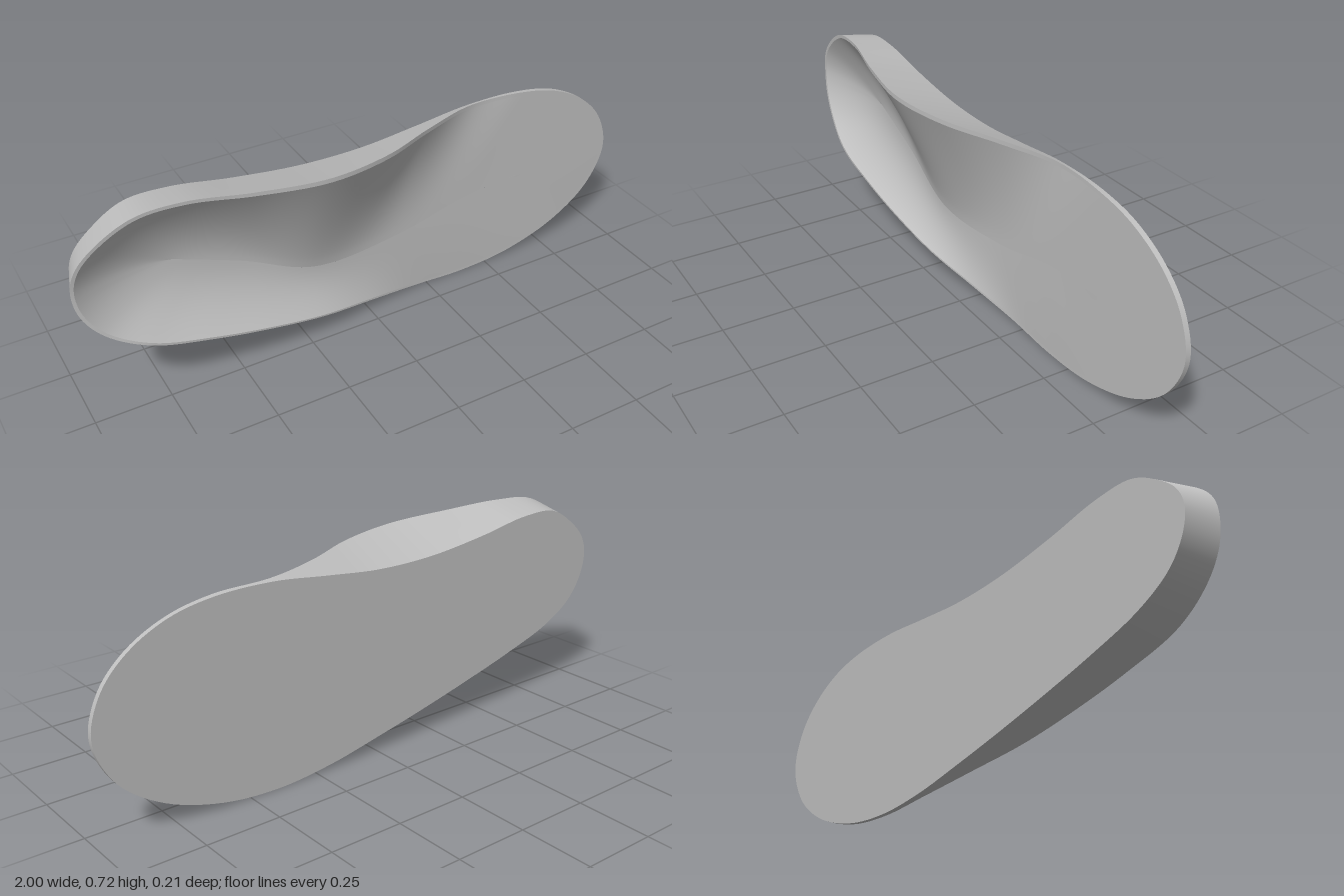
import * as THREE from 'three';

const BACK = -0.105;
const AROUND = 192;

// Rim stations, counter-clockwise from the heel tip: x, y, rim height z, base offset x, base offset y
const STATIONS = [
  [-1, 0.5, 0, 0.03, 0], [-0.985, 0.41, 0.005, 0.03, 0.01], [-0.925, 0.325, 0.015, 0.025, 0.012],
  [-0.8, 0.25, 0.033, 0.015, 0.015], [-0.6, 0.188, 0.03, 0, 0.015], [-0.4, 0.137, 0.018, 0, 0.012],
  [-0.2, 0.09, -0.005, 0, 0.01], [0, 0.05, -0.045, 0, 0.006], [0.2, 0.015, -0.08, 0, 0.002],
  [0.4, 0, -0.088, 0, 0], [0.6, 0.02, -0.088, 0, 0], [0.8, 0.09, -0.088, 0, 0],
  [0.94, 0.2, -0.088, 0, 0], [1, 0.34, -0.088, 0, 0], [0.965, 0.47, -0.088, 0, 0],
  [0.88, 0.565, -0.088, 0, 0], [0.75, 0.635, -0.088, 0, 0], [0.6, 0.668, -0.088, 0, -0.002],
  [0.4, 0.675, -0.088, 0, -0.006], [0.2, 0.677, -0.025, 0, -0.03], [0, 0.685, 0.06, 0, -0.058],
  [-0.22, 0.694, 0.102, 0, -0.065], [-0.45, 0.706, 0.077, 0, -0.05], [-0.65, 0.718, 0.037, 0.005, -0.03],
  [-0.8, 0.704, 0.022, 0.012, -0.02], [-0.92, 0.635, 0.01, 0.025, -0.015], [-0.98, 0.57, 0.004, 0.03, -0.008],
];

// Lowest line of the footbed from heel to toe
const SPINE = new THREE.CatmullRomCurve3([
  [-0.68, 0.46, -0.072], [-0.45, 0.37, -0.068], [-0.2, 0.26, -0.06],
  [0.12, 0.26, -0.08], [0.4, 0.32, -0.087], [0.65, 0.34, -0.087],
].map((p) => new THREE.Vector3(...p)));

const loop = (points) => {
  const curve = new THREE.CatmullRomCurve3(points, true);
  return Array.from({ length: AROUND }, (_, i) => curve.getPoint(i / AROUND));
};

// Smooth skin through closed rings of equal length
function skin(rings) {
  const positions = rings.flat().flatMap((p) => [p.x, p.y, p.z]);
  const index = [];
  for (let j = 0; j < rings.length - 1; j++) {
    for (let i = 0; i < AROUND; i++) {
      const k = (i + 1) % AROUND;
      const a = j * AROUND + i, b = j * AROUND + k;
      index.push(a, b, b + AROUND, a, b + AROUND, a + AROUND);
    }
  }
  const geometry = new THREE.BufferGeometry();
  geometry.setAttribute('position', new THREE.Float32BufferAttribute(positions, 3));
  geometry.setIndex(index);
  geometry.computeVertexNormals();
  return geometry;
}

// Ring of the footbed: u = 0 at the lip, 1 on the spine
function footbedRing(lip, u) {
  return lip.map((p) => {
    const s = SPINE.getPoint(THREE.MathUtils.clamp((p.x + 1) / 2, 0, 1));
    const arch = p.y > s.y ? Math.exp(-(((p.x + 0.2) / 0.4) ** 2)) : 0;
    const power = 2.2 - 0.95 * arch;
    const q = p.clone().lerp(s, u);
    q.z = s.z + (p.z - s.z) * (1 - u) ** power;
    return q;
  });
}

export function createModel() {
  const group = new THREE.Group();
  group.name = 'insole';
  const grey = new THREE.MeshStandardMaterial({ color: 0xbfbfbf });
  grey.name = 'grey foam';
  const add = (name, geometry) => {
    const mesh = new THREE.Mesh(geometry, grey);
    mesh.name = name;
    group.add(mesh);
  };

  const rim = loop(STATIONS.map(([x, y, z]) => new THREE.Vector3(x, y, z)));
  const base = loop(STATIONS.map(([x, y, , dx, dy]) => new THREE.Vector3(x + dx, y + dy, BACK)));

  // Narrow flat lip along the rim
  const lip = rim.map((p) => {
    const s = SPINE.getPoint(THREE.MathUtils.clamp((p.x + 1) / 2, 0, 1));
    const q = p.clone().lerp(s, 0.035);
    q.z = p.z;
    return q;
  });

  add('sideWall', skin([base, rim]));
  add('rimLip', skin([rim, lip]));

  // Cupped heel, raised arch and flat forefoot
  const STEPS = 24;
  const rings = Array.from({ length: STEPS + 1 }, (_, j) => footbedRing(lip, (j / STEPS) ** 1.3));
  add('footbed', skin(rings));

  // Flat underside, turned to face backwards
  const shape = new THREE.Shape(base.map((p) => new THREE.Vector2(-p.x, p.y)));
  const underside = new THREE.ShapeGeometry(shape);
  underside.rotateY(Math.PI);
  underside.translate(0, 0, BACK);
  add('underside', underside);

  return group;
}
